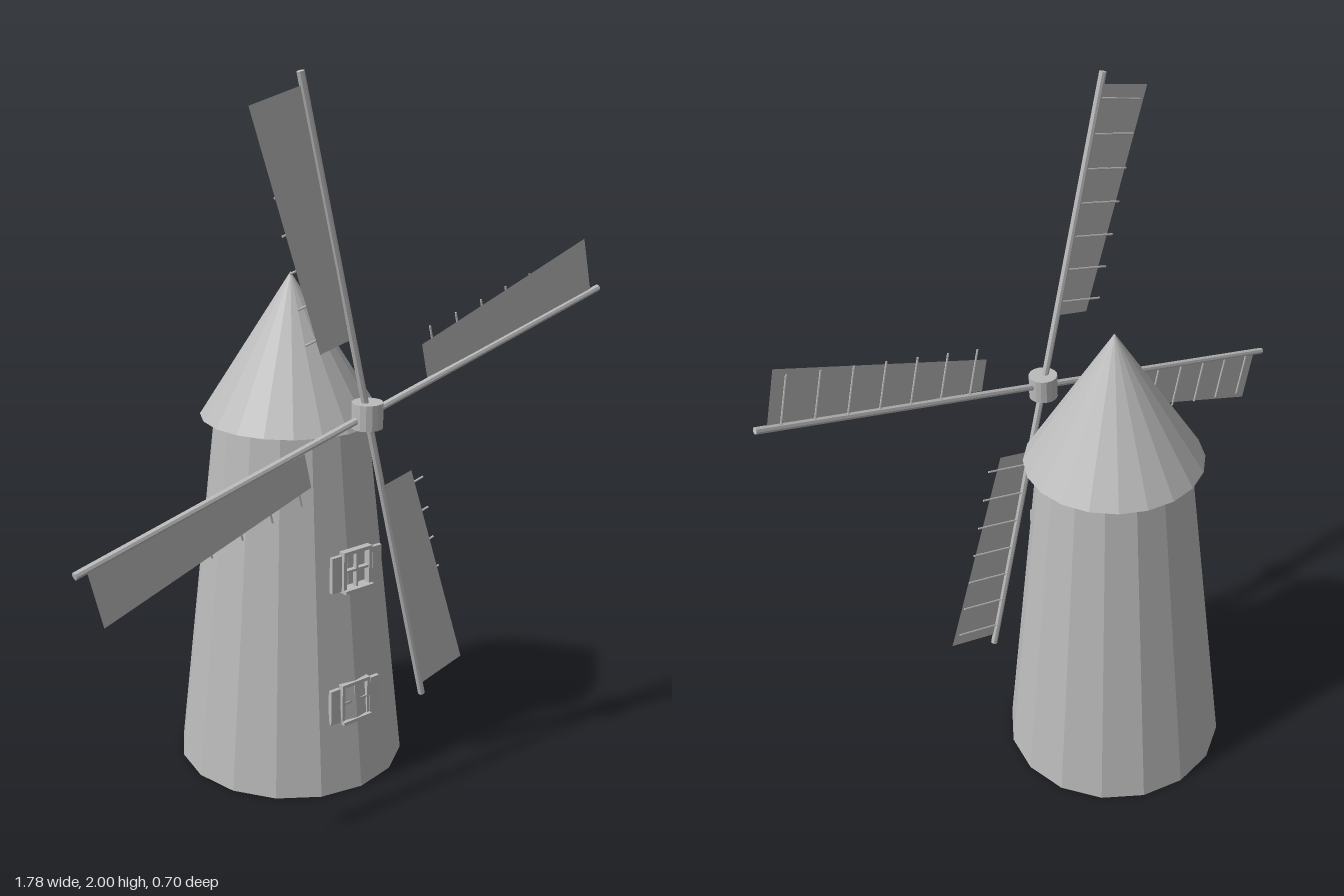
import * as THREE from 'three';

export function createModel() {
  const grey = new THREE.MeshStandardMaterial({ color: 0xbbbbbb, flatShading: true });
  grey.name = 'plain grey';
  const greySheet = new THREE.MeshStandardMaterial({ color: 0xbbbbbb, side: THREE.DoubleSide });
  greySheet.name = 'plain grey sheet';

  const model = new THREE.Group();
  model.name = 'windmill';

  function add(parent, name, geometry, x = 0, y = 0, z = 0, material = grey) {
    const mesh = new THREE.Mesh(geometry, material);
    mesh.name = name;
    mesh.position.set(x, y, z);
    parent.add(mesh);
    return mesh;
  }
  const box = (w, h, d) => new THREE.BoxGeometry(w, h, d);

  // Tapered tower and conical cap
  add(model, 'tower', new THREE.CylinderGeometry(0.217, 0.33, 1.04, 16), 0, 0.52, -0.02);
  add(model, 'roof', new THREE.ConeGeometry(0.255, 0.403, 20), 0, 1.2385, -0.02);

  // Two shuttered windows; the lower one is mostly sunk into the sloping wall
  for (const y of [0.66, 0.26]) {
    const win = new THREE.Group();
    win.name = 'window';
    win.position.set(0, y, 0.272);
    for (const s of [-1, 1]) {
      add(win, 'frameSide', box(0.01, 0.116, 0.02), s * 0.045, 0, 0);
      add(win, 'shutter', box(0.033, 0.104, 0.012), s * 0.071, 0, 0);
    }
    add(win, 'frameTop', box(0.1, 0.01, 0.02), 0, 0.055, 0);
    add(win, 'sill', box(0.1, 0.01, 0.036), 0, -0.055, 0.002);
    add(win, 'mullion', box(0.007, 0.11, 0.014));
    add(win, 'crossbar', box(0.085, 0.007, 0.014));
    model.add(win);
  }

  // Sail wheel
  const wheel = new THREE.Group();
  wheel.name = 'sailWheel';
  wheel.position.set(0, 1.11, 0.31);
  model.add(wheel);
  add(wheel, 'hub', new THREE.CylinderGeometry(0.042, 0.042, 0.07, 16));

  // Each blade is laid out along +x and turned into place
  const sailShape = new THREE.Shape([
    new THREE.Vector2(0.22, 0.012), new THREE.Vector2(0.882, 0.003),
    new THREE.Vector2(0.882, 0.166), new THREE.Vector2(0.222, 0.11),
  ]);
  const sailGeometry = new THREE.ShapeGeometry(sailShape);
  const sparGeometry = new THREE.CylinderGeometry(0.01, 0.01, 0.915, 8).rotateZ(-Math.PI / 2);
  const rungGeometry = new THREE.CylinderGeometry(0.003, 0.003, 0.147, 6);

  for (let i = 0; i < 4; i++) {
    const blade = new THREE.Group();
    blade.name = 'blade';
    blade.rotation.z = THREE.MathUtils.degToRad(14.2 + i * 90);
    add(blade, 'spar', sparGeometry, 0.4575, 0, 0);
    add(blade, 'sail', sailGeometry, 0, 0, 0.001, greySheet);
    for (let r = 0; r < 7; r++) {
      add(blade, 'rung', rungGeometry, 0.262 + r * 0.097, 0.0735, -0.002);
    }
    wheel.add(blade);
  }

  return model;
}
